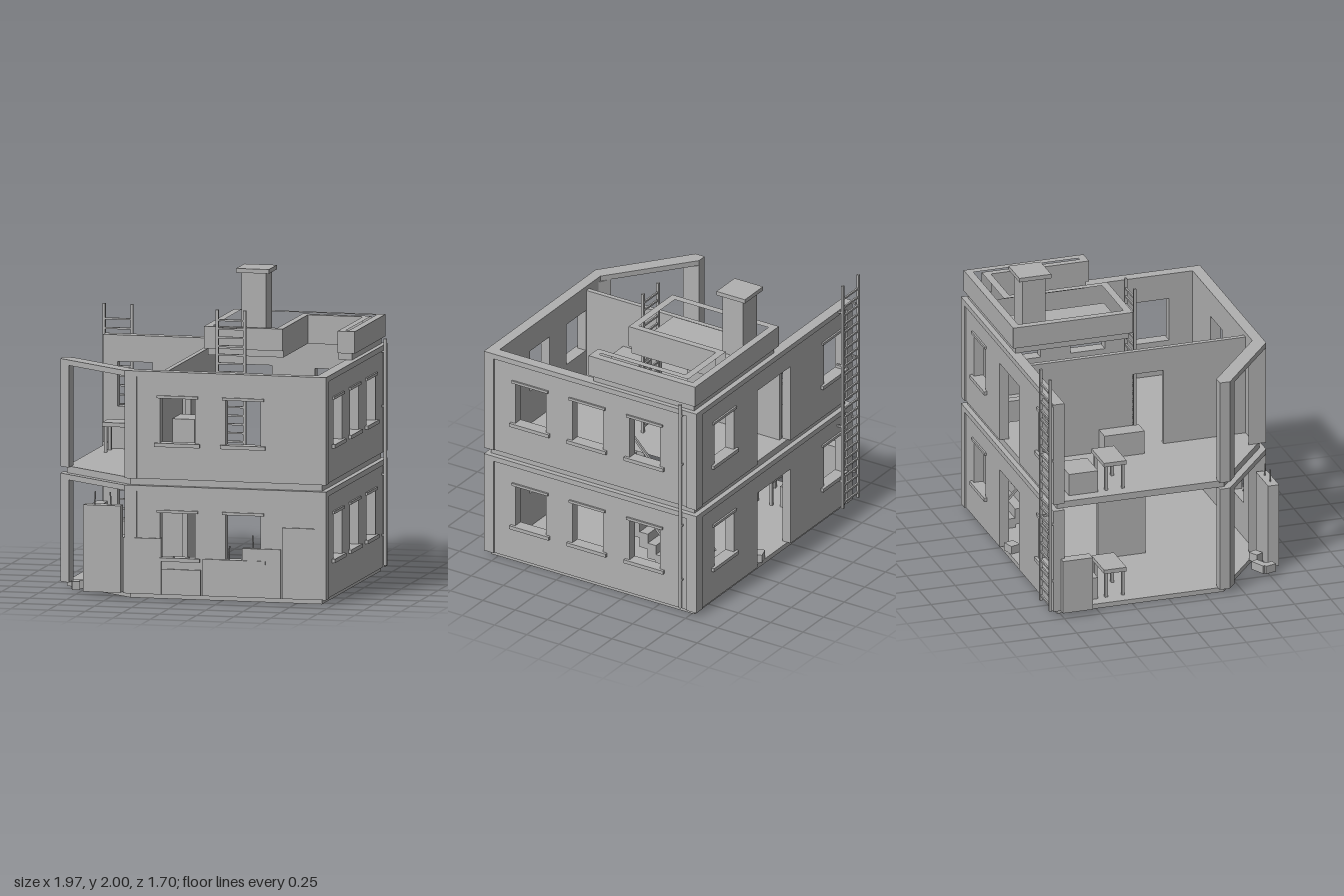
import * as THREE from 'three';

export function createModel() {
  const model = new THREE.Group();
  const concrete = new THREE.MeshStandardMaterial({ color: 0xb0b0b0 });
  concrete.name = 'concrete grey';

  const add = (name, geometry, parent = model) => {
    const mesh = new THREE.Mesh(geometry, concrete);
    mesh.name = name;
    parent.add(mesh);
    return mesh;
  };
  // Box given by its minimum and maximum on each axis
  const box = (name, x0, x1, y0, y1, z0, z1, parent = model) => {
    const m = add(name, new THREE.BoxGeometry(x1 - x0, y1 - y0, z1 - z0), parent);
    m.position.set((x0 + x1) / 2, (y0 + y1) / 2, (z0 + z1) / 2);
    return m;
  };
  const group = (name) => {
    const g = new THREE.Group();
    g.name = name;
    model.add(g);
    return g;
  };
  const path = (pts, Type = THREE.Shape) => new Type(pts.map(([x, y]) => new THREE.Vector2(x, y)));
  const rect = (a, b, c, d) => [[a, c], [b, c], [b, d], [a, d]];
  // Flat plate from an outline in x and z
  const plate = (name, pts, y0, y1, holes = []) => {
    const shape = path(pts.map(([x, z]) => [x, -z]));
    holes.forEach((h) => shape.holes.push(path(h.map(([x, z]) => [x, -z]), THREE.Path)));
    const g = new THREE.ExtrudeGeometry(shape, { depth: y1 - y0, bevelEnabled: false });
    g.rotateX(-Math.PI / 2).translate(0, y0, 0);
    return add(name, g);
  };
  // Upright wall with window holes and an optional doorway
  const wallGeometry = (u0, u1, y0, y1, depth, windows, door) => {
    const pts = [[u0, y0]];
    if (door) pts.push([door[0], y0], [door[0], door[2]], [door[1], door[2]], [door[1], y0]);
    pts.push([u1, y0], [u1, y1], [u0, y1]);
    const shape = path(pts);
    windows.forEach((w) => shape.holes.push(path(rect(...w), THREE.Path)));
    return new THREE.ExtrudeGeometry(shape, { depth, bevelEnabled: false });
  };

  // Floor slabs with a cut corner; the upper one has a stair opening
  const slab = [[-0.905, -0.77], [0.92, -0.77], [0.92, 0.805], [-0.37, 0.805], [-0.905, 0.38]];
  plate('groundSlab', slab, 0, 0.032);
  plate('upperSlab', slab, 0.745, 0.79, [rect(0.46, 0.83, -0.66, 0.03)]);

  const frontX = [-0.047, 0.395], rightZ = [0.485, 0.043, -0.4], backX = [0.603, -0.724];
  [[0.032, 0.745], [0.79, 1.5]].forEach(([y0, y1], level) => {
    const floor = group(level ? 'upperWalls' : 'groundWalls');
    const w0 = level ? 1.03 : 0.275, w1 = level ? 1.325 : 0.57, top = y1 - 0.036;
    const windows = (centres) => centres.map((c) => [c - 0.118, c + 0.118, w0, w1]);
    const doorway = [-0.205, 0.195, w1 + 0.01];

    add('frontWall', wallGeometry(-0.36, 0.945, y0, top, 0.067, windows(frontX)), floor).position.z = 0.765;
    add('backWall', wallGeometry(-0.93, 0.945, y0, top, 0.065, windows(backX), doorway), floor).position.z = -0.795;
    const side = wallGeometry(-0.795, 0.832, y0, top, 0.065, windows(rightZ));
    add('sideWall', side.rotateY(-Math.PI / 2), floor).position.x = 0.945;

    // Sills and lintels
    [[w0 - 0.025, w0, 0.152, 0.018], [w1, w1 + 0.018, 0.139, 0.01]].forEach(([a, b, h, out], i) => {
      const name = i ? 'lintel' : 'sill';
      frontX.forEach((c) => box(name, c - h, c + h, a, b, 0.8, 0.832 + out, floor));
      backX.forEach((c) => box(name, c - h, c + h, a, b, -0.797 - out, -0.76, floor));
      rightZ.forEach((c) => box(name, 0.92, 0.947 + out, a, b, c - h, c + h, floor));
    });

    // Corner posts
    box('cornerPost', 0.88, 0.955, y0, top, 0.765, 0.84, floor);
    box('cornerPost', 0.88, 0.955, y0, top, -0.805, -0.73, floor);
    box('cornerPost', -0.94, -0.87, y0, top, -0.805, -0.73, floor);
    plate('cutCornerPost', [[-0.94, 0.34], [-0.87, 0.34], [-0.87, 0.465], [-0.94, 0.41]], y0, top);
    plate('cutCornerPost', [[-0.4, 0.84], [-0.32, 0.84], [-0.32, 0.765], [-0.4, 0.72]], y0, top);

    // Continuous cap beam along the walls and across the cut corner
    plate('capBeam', [[-0.94, -0.805], [0.955, -0.805], [0.955, 0.84], [-0.4, 0.84], [-0.94, 0.41],
      [-0.94, 0.34], [-0.87, 0.34], [-0.34, 0.765], [0.88, 0.765], [0.88, -0.73], [-0.94, -0.73]], top, y1);
  });

  // Inner partitions
  const partition = wallGeometry(-0.73, 0.765, 0.79, 1.47, 0.034, [], [-0.015, 0.2, 1.31]);
  add('upperPartition', partition.rotateY(-Math.PI / 2)).position.x = -0.17;
  box('groundPartition', -0.204, -0.17, 0.032, 0.745, -0.25, 0.075);

  // Lower stairs and handrails
  const stairs = group('stairs');
  for (let i = 0; i < 11; i++) {
    const z = -0.66 + i * 0.0627, y = 0.032 + (i + 1) * 0.066;
    box('step', 0.465, 0.825, Math.max(0.032, y - 0.11), y, z, z + 0.066, stairs);
  }
  [0.475, 0.815].forEach((x) => {
    const rail = box('handrail', x - 0.008, x + 0.008, 0.532, 0.548, -0.86 + 0.06, 0.14 - 0.06, stairs);
    rail.scale.z = 1.04;
    rail.position.set(x, 0.565, -0.33);
    rail.rotation.x = -0.81;
    [-0.47, -0.2, 0].forEach((z) => {
      const y = 0.565 + (z + 0.33) * 1.05;
      box('railPost', x - 0.007, x + 0.007, y - 0.16, y, z - 0.007, z + 0.007, stairs);
    });
  });

  // Roof deck and parapet, notched around the stairwell
  const notched = (o, n0, n1, nz) => [[-0.07 + o, -0.79 + o], [0.945 - o, -0.79 + o], [0.945 - o, 0.035 - o],
    [n1, 0.035 - o], [n1, nz], [n0, nz], [n0, 0.035 - o], [-0.07 + o, 0.035 - o]];
  plate('roofDeck', notched(0.022, 0.46, 0.83, -0.64), 1.5, 1.545);
  plate('parapet', notched(0, 0.46, 0.83, -0.64), 1.545, 1.69, [notched(0.05, 0.415, 0.875, -0.69)]);

  // Chimney
  box('chimney', 0.04, 0.207, 1.54, 1.975, -0.69, -0.53);
  box('chimneyCap', 0.013, 0.233, 1.972, 2, -0.72, -0.5);

  // Ladders
  const ladder = (name, x0, x1, y0, y1, z, step) => {
    const g = group(name);
    [x0, x1].forEach((x) => box('ladderRail', x - 0.009, x + 0.009, y0, y1, z - 0.009, z + 0.009, g));
    for (let y = y0 + 0.04; y < y1 - 0.05; y += step) {
      box('rung', x0, x1, y - 0.006, y + 0.006, z - 0.006, z + 0.006, g);
    }
    return g;
  };
  ladder('roofLadder', 0.032, 0.217, 0.79, 1.81, 0.08, 0.057);
  const outside = ladder('outsideLadder', -0.96, -0.772, 0.05, 1.69, -0.836, 0.0625);
  [0.25, 0.65, 1.1, 1.49].forEach((y) => [-0.93, -0.772].forEach((x) =>
    box('bracket', x - 0.006, x + 0.006, y - 0.006, y + 0.006, -0.836, -0.79, outside)));

  // Drainpipe
  const pipe = add('drainpipe', new THREE.CylinderGeometry(0.013, 0.013, 1.495, 8));
  pipe.position.set(0.969, 0.797, -0.69);
  [0.25, 0.65, 1.1, 1.46].forEach((y) => box('pipeClip', 0.94, 0.97, y - 0.006, y + 0.006, -0.7, -0.68));

  // Furniture
  [0.032, 0.79].forEach((y) => {
    const table = group('table');
    box('tableTop', -0.83, -0.57, y + 0.17, y + 0.198, -0.42, -0.265, table);
    [-0.82, -0.602].forEach((x) => [-0.41, -0.295].forEach((z) =>
      box('tableLeg', x, x + 0.02, y, y + 0.17, z, z + 0.02, table)));
    box('chest', -0.825, -0.6, y, y + 0.15, -0.66, -0.46);
  });
  box('cabinet', -0.17, -0.02, 0.79, 1.14, 0.26, 0.48);
  box('bench', -0.32, -0.205, 0.79, 0.95, -0.245, 0.03);
  box('outsideLocker', -0.985, -0.91, 0.032, 0.4, -0.755, -0.55);

  // Broken facing panels with bent reinforcing bars
  box('brokenColumn', -0.68, -0.43, 0.032, 0.605, 0.76, 0.835);
  [[-0.41, -0.155, 0.4], [-0.15, 0.11, 0.2], [0.125, 0.39, 0.275], [0.39, 0.65, 0.355], [0.66, 0.885, 0.5]]
    .forEach(([x0, x1, y]) => box('facingPanel', x0, x1, 0.032, y, 0.8, 0.844));
  [[-0.61, 0.605, 0.09], [-0.505, 0.605, 0.09], [0.3, 0.275, 0.095], [0.46, 0.355, 0.09], [-0.075, 0.2, 0.09],
    [0.03, 0.2, 0.09]].forEach(([x, y, h], i) => {
    const bar = add('reinforcingBar', new THREE.CylinderGeometry(0.005, 0.005, h, 6));
    bar.position.set(x, y + h / 2 - 0.005, i < 2 ? 0.797 : 0.825);
    bar.rotation.z = i % 2 ? 0.06 : -0.05;
  });

  // Fallen rubble
  [[-0.72, 0.69, 0.11, 0.05, 0.45], [-0.755, 0.74, 0.05, 0.08, 0.3], [-0.55, 0.72, 0.07, 0.06, 0.5],
    [0.1, -0.74, 0.08, 0.07, 0.3]].forEach(([x, z, w, d, turn]) => {
    const chunk = add('rubble', new THREE.BoxGeometry(w, 0.055, d));
    chunk.position.set(x, 0.06, z);
    chunk.rotation.y = turn;
  });

  return model;
}
